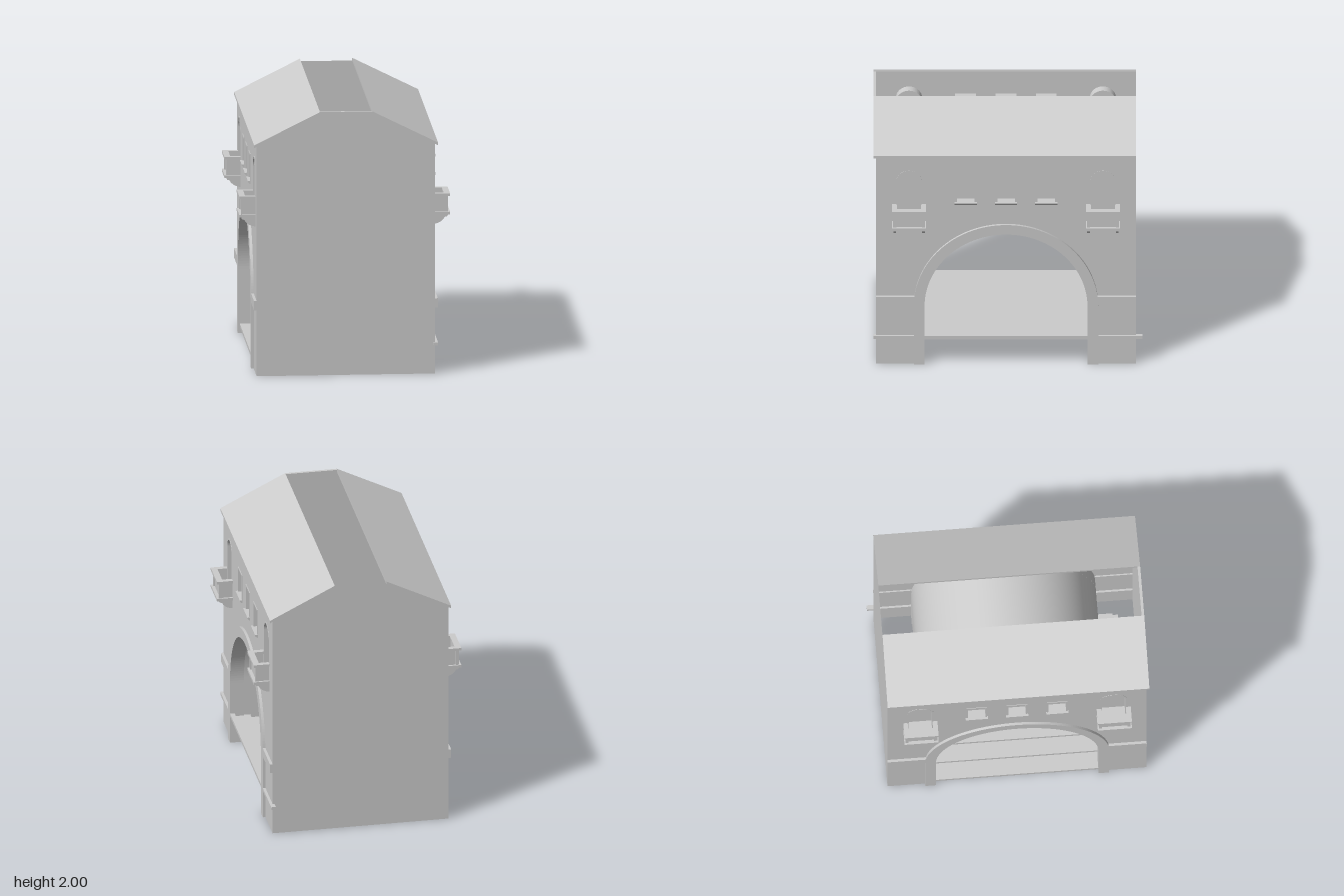
import * as THREE from 'three';

const material = new THREE.MeshStandardMaterial({ color: 0xcccccc, side: THREE.DoubleSide });
const MID_Z = 0.015;   // centre line of the building
const HALF_LEN = 0.965; // half length of the long walls
const WALL = 0.665;    // distance of the long walls from the middle
const SPRING = 0.49;   // springing height of the arch
const R_IN = 0.605, R_OUT = 0.685;

function add(parent, name, geometry, x = 0, y = 0, z = 0) {
  const mesh = new THREE.Mesh(geometry, material);
  mesh.name = name;
  mesh.position.set(x, y, z);
  parent.add(mesh);
  return mesh;
}

// Box given by its limits
function block(parent, name, x0, x1, y0, y1, z0, z1) {
  return add(parent, name, new THREE.BoxGeometry(x1 - x0, y1 - y0, z1 - z0),
    (x0 + x1) / 2, (y0 + y1) / 2, (z0 + z1) / 2);
}

function polygon(points) {
  return new THREE.Shape(points.map(([x, y]) => new THREE.Vector2(x, y)));
}

function extrude(shape, depth) {
  return new THREE.ExtrudeGeometry(shape, { depth, bevelEnabled: false, curveSegments: 24 });
}

// Opening outline with a straight or round head
function opening(cx, half, y0, y1, round = false) {
  const s = new THREE.Shape();
  s.moveTo(cx - half, y0);
  s.lineTo(cx + half, y0);
  if (round) {
    s.lineTo(cx + half, y1 - half);
    s.absarc(cx, y1 - half, half, 0, Math.PI, false);
  } else {
    s.lineTo(cx + half, y1);
    s.lineTo(cx - half, y1);
  }
  s.closePath();
  return s;
}

// Boxed recess: a deep frame closed by a pane at its back
function recess(parent, name, [cx, half, y0, y1, round], front, depth) {
  const t = 0.012;
  const frame = opening(cx, half + t, y0 - t, y1 + t, round);
  frame.holes.push(opening(cx, half, y0, y1, round));
  add(parent, name + 'Frame', extrude(frame, depth), 0, 0, front - depth);
  add(parent, name + 'Pane', new THREE.ShapeGeometry(opening(cx, half, y0, y1, round), 24), 0, 0, front - depth + 0.01);
}

// Profile of (outward, up) points swept along the wall
function moulding(parent, name, points, u0, u1) {
  add(parent, name, extrude(polygon(points), u1 - u0).rotateY(-Math.PI / 2), u1);
}

function balcony(parent, u) {
  const g = new THREE.Group();
  g.name = 'balcony';
  g.position.x = u;
  parent.add(g);
  block(g, 'balconyFloor', -0.127, 0.127, 1.18, 1.2, WALL, 0.785);
  block(g, 'balconyFront', -0.105, 0.105, 1.2, 1.32, 0.745, 0.76);
  block(g, 'balconyFrontRail', -0.127, 0.127, 1.32, 1.34, 0.74, 0.785);
  for (const s of [-1, 1]) {
    const side = (name, a, b, ...rest) => block(g, name, Math.min(s * a, s * b), Math.max(s * a, s * b), ...rest);
    side('balconySide', 0.097, 0.112, 1.2, 1.32, WALL, 0.75);
    side('balconySideRail', 0.09, 0.127, 1.32, 1.34, WALL, 0.74);
    side('balconyPost', 0.095, 0.118, 1.2, 1.32, 0.745, 0.77);
    moulding(g, 'balconyBracket', [[WALL, 1.11], [0.685, 1.112], [0.715, 1.125], [0.738, 1.145],
      [0.745, 1.16], [0.765, 1.165], [0.77, 1.18], [WALL, 1.18]], s * 0.107 - 0.01, s * 0.107 + 0.01);
  }
}

// One long side in a local frame facing +z
function longSide() {
  const g = new THREE.Group();
  const windows = [-0.3, 0, 0.3].map(u => [u, 0.065, 1.36, 1.55, false]);
  const doors = [-0.72, 0.72].map(u => [u, 0.086, 1.2, 1.61, true]);

  // Wall with the gateway notch and openings
  const wall = new THREE.Shape();
  wall.moveTo(-HALF_LEN, 0);
  wall.lineTo(-R_IN, 0);
  wall.lineTo(-R_IN, SPRING);
  wall.absarc(0, SPRING, R_IN, Math.PI, 0, true);
  wall.lineTo(R_IN, 0);
  wall.lineTo(HALF_LEN, 0);
  wall.lineTo(HALF_LEN, 1.74);
  wall.lineTo(-HALF_LEN, 1.74);
  wall.closePath();
  for (const o of [...windows, ...doors]) wall.holes.push(opening(...o));
  add(g, 'longWall', new THREE.ShapeGeometry(wall, 48), 0, 0, WALL);

  // Raised arch with its piers
  const arch = new THREE.Shape();
  arch.moveTo(-R_OUT, 0);
  arch.lineTo(-R_IN, 0);
  arch.lineTo(-R_IN, SPRING);
  arch.absarc(0, SPRING, R_IN, Math.PI, 0, true);
  arch.lineTo(R_IN, 0);
  arch.lineTo(R_OUT, 0);
  arch.lineTo(R_OUT, SPRING);
  arch.absarc(0, SPRING, R_OUT, 0, Math.PI, false);
  arch.closePath();
  const archGeometry = new THREE.ExtrudeGeometry(arch, { depth: 0.105, bevelEnabled: false, curveSegments: 48 });
  add(g, 'archAndPiers', archGeometry, 0, 0, 0.58);

  for (const o of windows) {
    recess(g, 'window', o, WALL + 0.004, 0.07);
    moulding(g, 'windowSill', [[WALL, 1.337], [0.672, 1.337], [0.686, 1.352], [0.686, 1.36], [WALL, 1.36]],
      o[0] - 0.083, o[0] + 0.083);
  }
  for (const o of doors) {
    recess(g, 'balconyDoor', o, WALL + 0.002, 0.07);
    balcony(g, o[0]);
  }
  // Band course beside the arch
  block(g, 'bandCourse', -HALF_LEN, -0.68, 0.5, 0.57, WALL - 0.01, 0.685);
  block(g, 'bandCourse', 0.68, HALF_LEN, 0.5, 0.57, WALL - 0.01, 0.685);
  return g;
}

// One side wall of the passage with a doorway niche and a middle post
function passageSide() {
  const g = new THREE.Group();
  const niche = [-0.22, 0.16, 0.17, 0.47, false];
  const wall = polygon([[-0.62, 0.13], [0.62, 0.13], [0.62, SPRING], [-0.62, SPRING]]);
  wall.holes.push(opening(...niche));
  add(g, 'passageWall', new THREE.ShapeGeometry(wall), 0, 0, -R_OUT);
  recess(g, 'niche', niche, -R_OUT, 0.11);
  block(g, 'nicheBack', -0.39, -0.115, 0.17, 0.45, -0.835, -0.79);
  block(g, 'passagePost', -0.05, 0.05, 0, 0.57, -R_OUT, -0.61);
  return g;
}

export function createModel() {
  const model = new THREE.Group();
  model.name = 'gatehouse';

  for (const s of [-1, 1]) {
    const side = longSide();
    side.name = s > 0 ? 'leftSide' : 'rightSide';
    side.rotation.y = s * Math.PI / 2;
    side.position.z = MID_Z;
    model.add(side);

    const passage = passageSide();
    passage.name = 'passageSide';
    passage.rotation.y = s > 0 ? Math.PI : 0;
    passage.position.z = MID_Z;
    model.add(passage);

    // Sloping roof slab; the ridge strip stays open
    const slab = polygon([[s * 0.685, 1.735], [s * 0.685, 1.755], [s * 0.195, 2], [s * 0.195, 1.978]]);
    add(model, 'roofSlab', extrude(slab, 1.95), 0, 0, -0.95);

    // Gable end wall
    const gable = polygon([[-WALL, 0], [WALL, 0], [WALL, 1.745], [0.195, 1.98], [-0.195, 1.98], [-WALL, 1.745]]);
    add(model, s > 0 ? 'frontGable' : 'backGable', new THREE.ShapeGeometry(gable), 0, 0, MID_Z + s * HALF_LEN);
  }
  block(model, 'ridgeFascia', -0.195, 0.195, 1.978, 2, 0.98, 1);

  // Barrel vault over the passage
  const vault = new THREE.CylinderGeometry(R_OUT, R_OUT, 1.24, 48, 1, true, Math.PI / 2, Math.PI);
  add(model, 'vault', vault.rotateX(Math.PI / 2).rotateY(Math.PI / 2), 0, SPRING, MID_Z);

  // Steps climbing through the passage with a long landing halfway
  const edges = [-0.67, -0.54, -0.41, -0.28, 0.31, 0.42, 0.53, 0.65, 0.685];
  for (let i = 0; i < 8; i++) {
    const y = 0.048 + i * 0.024;
    const half = i === 7 ? 0.985 : 0.615;
    const centre = i === 7 ? 0 : MID_Z;
    block(model, i === 3 ? 'landing' : i === 7 ? 'topStep' : 'step',
      edges[i], edges[i + 1], y, y + 0.024, centre - half - (i === 7 ? 0.015 : 0), centre + half + (i === 7 ? 0.015 : 0));
  }
  return model;
}
